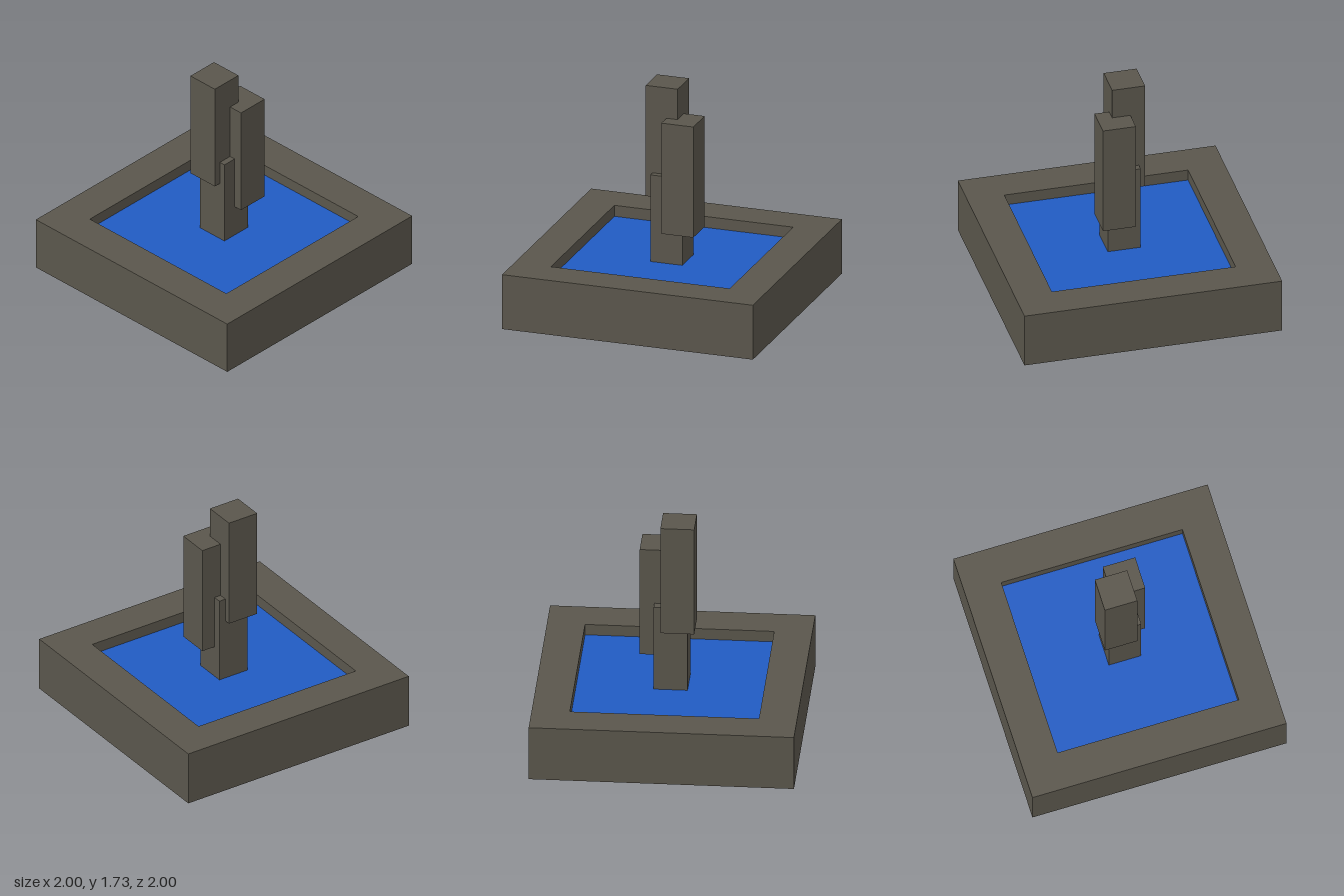
import * as THREE from 'three';

const stone = new THREE.MeshStandardMaterial({ name: 'stone', color: 0x5a564c, side: THREE.DoubleSide });
const blue = new THREE.MeshStandardMaterial({ name: 'water', color: 0x215bc2, side: THREE.DoubleSide });

const TOP = 0.435;    // rim height
const WATER = 0.347;  // water level
const INNER = 0.713;  // half width of the pool opening

function square(half, Type) {
  const s = new Type();
  s.moveTo(-half, -half);
  s.lineTo(half, -half);
  s.lineTo(half, half);
  s.lineTo(-half, half);
  s.closePath();
  return s;
}

// Four upright panels around a square, facing outward or inward
function wallRing(name, half, y0, y1, inward) {
  const ring = new THREE.Group();
  ring.name = name;
  for (let i = 0; i < 4; i++) {
    const a = i * Math.PI / 2;
    const panel = new THREE.Mesh(new THREE.PlaneGeometry(half * 2, y1 - y0), stone);
    panel.name = name + 'Panel';
    panel.position.set(Math.sin(a) * half, (y0 + y1) / 2, Math.cos(a) * half);
    panel.rotation.y = a + (inward ? Math.PI : 0);
    ring.add(panel);
  }
  return ring;
}

export function createModel() {
  const model = new THREE.Group();
  model.name = 'fountain';

  // Hollow basin, open underneath
  model.add(wallRing('outerWall', 1, 0, TOP, false));
  model.add(wallRing('innerWall', INNER, WATER, TOP, true));

  const rimShape = square(1, THREE.Shape);
  rimShape.holes.push(square(INNER, THREE.Path));
  const rim = new THREE.Mesh(new THREE.ShapeGeometry(rimShape), stone);
  rim.name = 'rim';
  rim.rotation.x = -Math.PI / 2;
  rim.position.y = TOP;
  model.add(rim);

  const water = new THREE.Mesh(new THREE.PlaneGeometry(INNER * 2, INNER * 2), blue);
  water.name = 'waterSurface';
  water.rotation.x = -Math.PI / 2;
  water.position.y = WATER;
  model.add(water);

  // Three equal stone blocks, staggered; the lowest passes through the water
  const blockGeometry = new THREE.BoxGeometry(0.255, 0.885, 0.255);
  const blocks = [
    ['lowerBlock', 0, 0.155, 0],
    ['upperBlock', -0.048, 0.848, 0.054],
    ['middleBlock', 0.066, 0.605, -0.111],
  ];
  for (const [name, x, bottom, z] of blocks) {
    const block = new THREE.Mesh(blockGeometry, stone);
    block.name = name;
    block.position.set(x, bottom + 0.4425, z);
    model.add(block);
  }
  return model;
}
